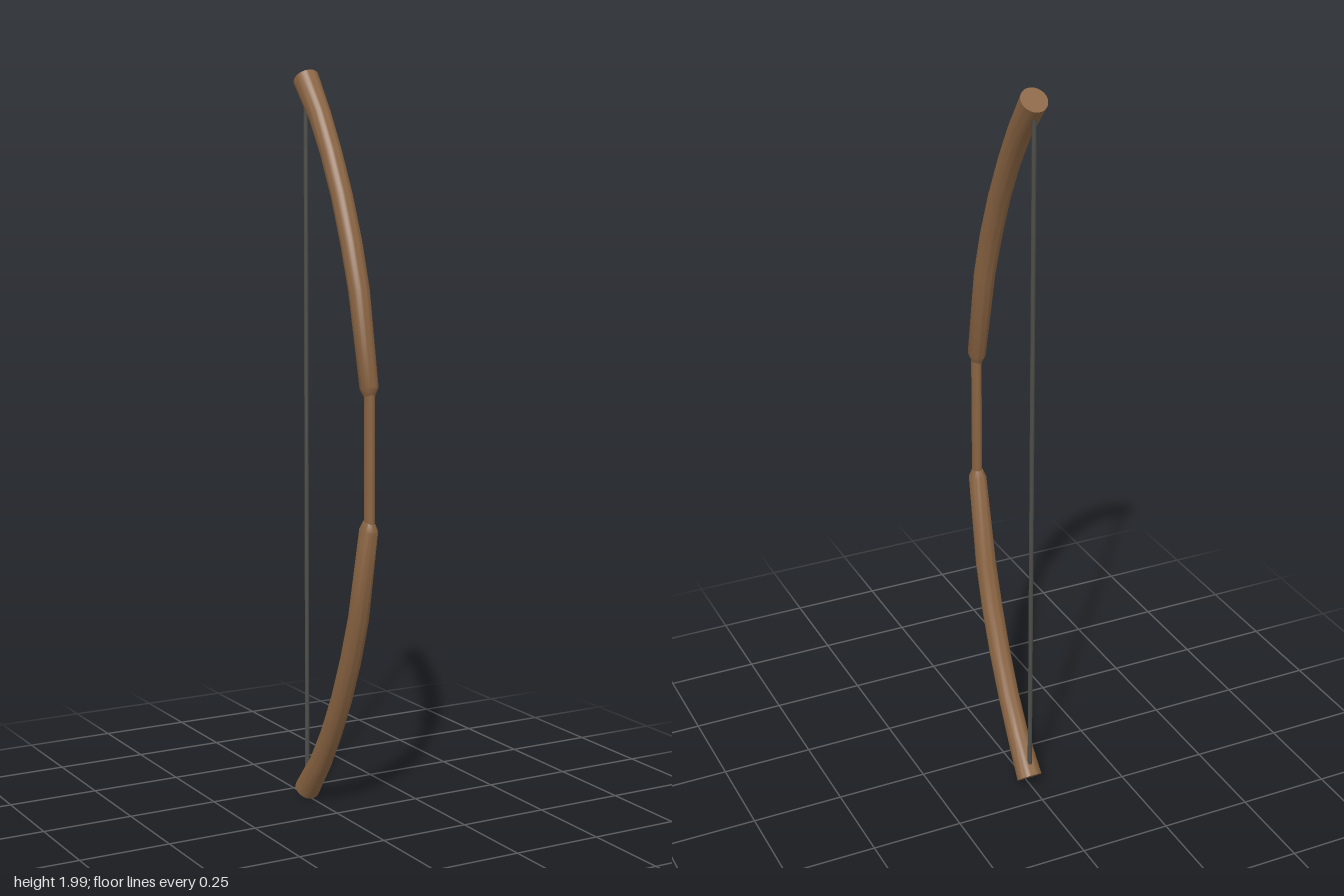
import * as THREE from 'three';
import { mergeVertices, toCreasedNormals } from 'three/addons/utils/BufferGeometryUtils.js';

// Limb cross-sections, grip to tip: height, depth, tilt in degrees, half width, half depth
const SECTIONS = [
  [1.164, 0.168, 6, 0.014, 0.019],
  [1.185, 0.167, 8, 0.023, 0.029],
  [1.43, 0.115, 15, 0.028, 0.028],
  [1.55, 0.075, 20, 0.029, 0.028],
  [1.67, 0.025, 25, 0.029, 0.028],
  [1.78, -0.032, 30, 0.029, 0.029],
  [1.875, -0.091, 35, 0.03, 0.031],
  [1.973, -0.169, 42, 0.035, 0.035],
];

// Bends a unit cylinder so that each of its rings becomes one cross-section
function limbGeometry() {
  const n = SECTIONS.length - 1;
  const geo = new THREE.CylinderGeometry(1, 1, 1, 28, n);
  const pos = geo.attributes.position;
  for (let i = 0; i < pos.count; i++) {
    const [y, z, tilt, rx, rz] = SECTIONS[Math.round((pos.getY(i) + 0.5) * n)];
    const a = THREE.MathUtils.degToRad(tilt);
    const d = pos.getZ(i) * rz;
    pos.setXYZ(i, pos.getX(i) * rx, y + d * Math.sin(a), z + d * Math.cos(a));
  }
  geo.deleteAttribute('normal');
  geo.deleteAttribute('uv');
  return toCreasedNormals(mergeVertices(geo, 1e-5), Math.PI / 5);
}

export function createModel() {
  const bow = new THREE.Group();
  bow.name = 'bow';
  const wood = new THREE.MeshStandardMaterial({ color: 0x8a6442 });
  const cord = new THREE.MeshStandardMaterial({ color: 0x4c4c48 });

  const add = (name, geometry, material) => {
    const mesh = new THREE.Mesh(geometry, material);
    mesh.name = name;
    bow.add(mesh);
    return mesh;
  };

  // Curved limbs; the lower one is the upper one turned upside down
  const limb = limbGeometry();
  add('upperLimb', limb, wood);
  const lower = add('lowerLimb', limb, wood);
  lower.rotation.z = Math.PI;
  lower.position.y = 2;

  // Slim oval grip between the limbs
  const grip = add('grip', new THREE.CylinderGeometry(1, 1, 0.37, 24), wood);
  grip.scale.set(0.013, 1, 0.018);
  grip.position.set(0, 1, 0.17);

  // Taut string from tip to tip
  const string = add('string', new THREE.CylinderGeometry(0.006, 0.006, 1.91, 10), cord);
  string.position.set(0, 1, -0.17);

  return bow;
}
